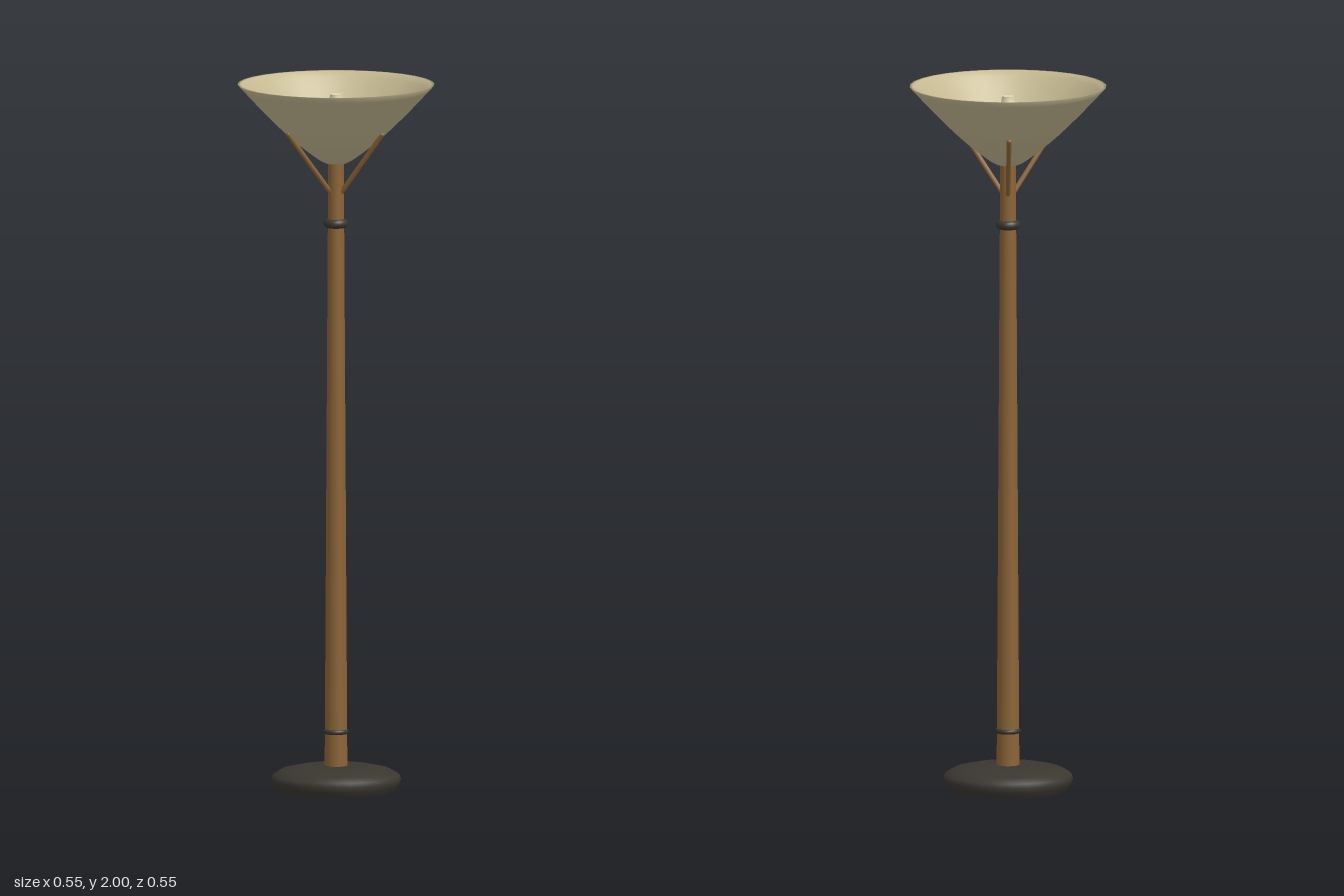
import * as THREE from 'three';

const wood = new THREE.MeshStandardMaterial({ color: 0x8b6436 });
const dark = new THREE.MeshStandardMaterial({ color: 0x3a3630 });
const shadeMat = new THREE.MeshStandardMaterial({ color: 0xc4b891, side: THREE.DoubleSide });
const bulbMat = new THREE.MeshStandardMaterial({ color: 0xe0d6b4 });

const points = (list) => list.map(([r, y]) => new THREE.Vector2(r, y));

export function createModel() {
  const model = new THREE.Group();

  const add = (name, geometry, material, y = 0) => {
    const mesh = new THREE.Mesh(geometry, material);
    mesh.name = name;
    mesh.position.y = y;
    model.add(mesh);
    return mesh;
  };
  const lathe = (list, segments = 32) => new THREE.LatheGeometry(points(list), segments);

  // Weighted base: flat underside, rounded edge, gently domed top
  add('base', lathe([
    [0, 0], [0.168, 0], [0.168, 0], [0.178, 0.015], [0.183, 0.03], [0.178, 0.042],
    [0.155, 0.055], [0.115, 0.064], [0.06, 0.068], [0, 0.069],
  ]), dark);

  // Tapered pole with two collars
  add('pole', new THREE.CylinderGeometry(0.022, 0.032, 1.73, 24), wood, 0.915);
  const collars = [['lowerCollar', 0.029, 0.007, 0.165], ['upperCollar', 0.022, 0.013, 1.606]];
  for (const [name, radius, tube, y] of collars) {
    add(name, new THREE.TorusGeometry(radius, tube, 10, 28).rotateX(Math.PI / 2), dark, y);
  }

  // Flared bowl shade with a thin wall, outer surface then rim then inner surface
  const outer = new THREE.SplineCurve(points([
    [0.028, 1.776], [0.055, 1.791], [0.125, 1.846], [0.2, 1.918], [0.277, 2],
  ])).getPoints(14);
  const inner = outer.map((p) => new THREE.Vector2(Math.max(p.x - 0.009, 0.02), Math.min(p.y + 0.003, 2))).reverse();
  add('shade', new THREE.LatheGeometry([...outer, ...inner], 32), shadeMat);

  // Socket and bulb inside the bowl
  add('socket', new THREE.CylinderGeometry(0.038, 0.034, 0.06, 24), wood, 1.81);
  add('bulb', lathe([
    [0, 1.835], [0.026, 1.835], [0.03, 1.86], [0.031, 1.91], [0.028, 1.935],
    [0.019, 1.955], [0.017, 1.968], [0.017, 1.972], [0.017, 1.972], [0, 1.972],
  ], 24), bulbMat);

  // Three slanted struts from the pole to the shade
  for (let i = 0; i < 3; i++) {
    const a = (i * Math.PI * 2) / 3;
    const at = (r, y) => new THREE.Vector3(Math.cos(a) * r, y, Math.sin(a) * r);
    const path = new THREE.LineCurve3(at(0.018, 1.695), at(0.152, 1.868));
    const strut = add('strut' + (i + 1), new THREE.TubeGeometry(path, 1, 0.007, 10), wood);
    // Rounded tips close the strut ends
    for (const end of [path.v1, path.v2]) {
      const tip = new THREE.Mesh(new THREE.SphereGeometry(0.007, 10, 8), wood);
      tip.name = 'strutTip';
      tip.position.copy(end);
      strut.add(tip);
    }
  }

  return model;
}
